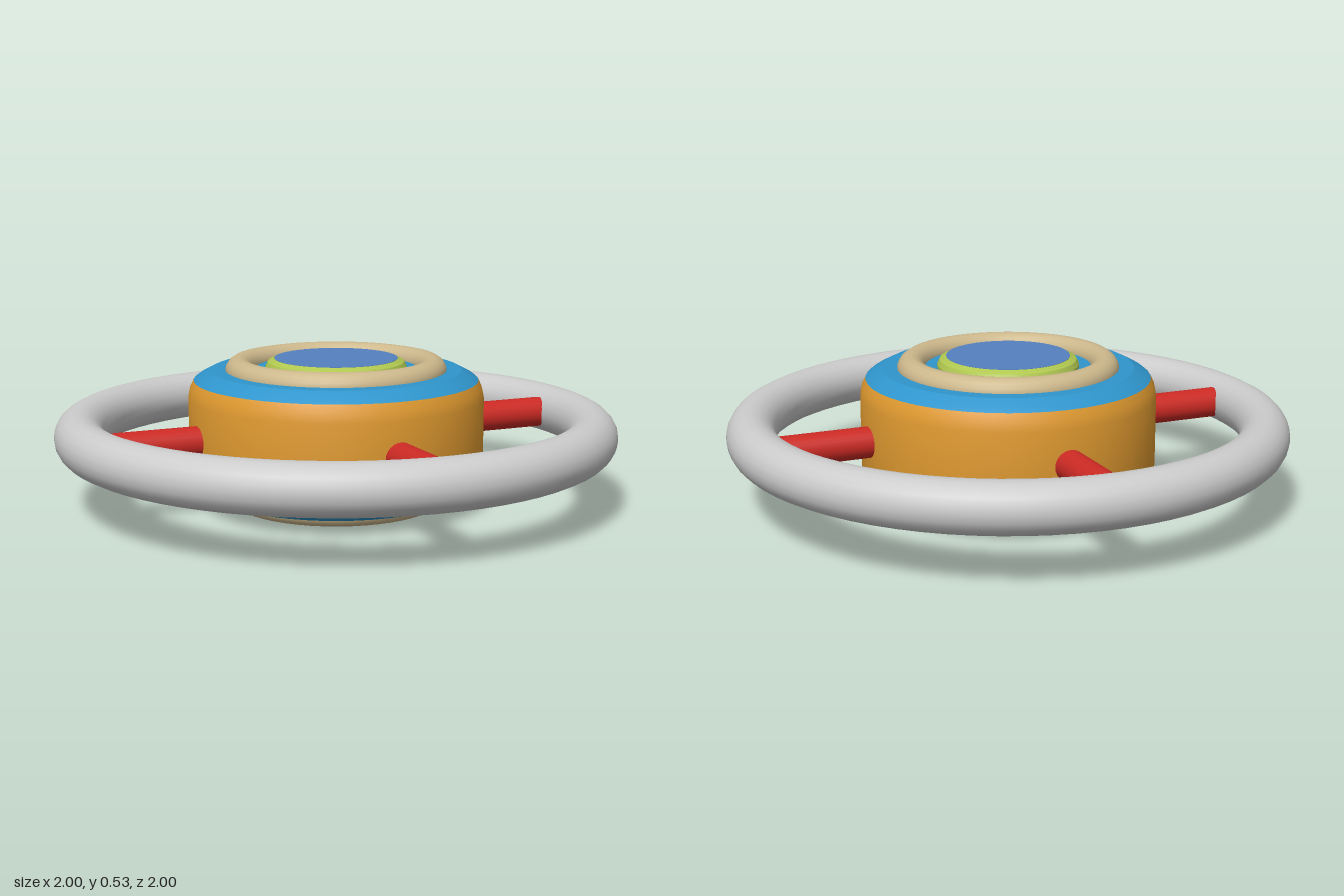
import * as THREE from 'three';
import { toCreasedNormals } from 'three/addons/utils/BufferGeometryUtils.js';

const MID = 0.268; // height of the rim plane, about which the hub is symmetric
const SIDES = 48;

function mesh(name, geometry, color) {
  const m = new THREE.Mesh(geometry, new THREE.MeshStandardMaterial({ color }));
  m.name = name;
  return m;
}

// Revolve a [radius, height] profile listed from bottom to top
function turned(profile) {
  const points = profile.map(([r, y]) => new THREE.Vector2(r, y));
  return toCreasedNormals(new THREE.LatheGeometry(points, SIDES), 0.45);
}

// Everything stacked on one face of the hub, heights measured from the rim plane
function hubFace(name) {
  const face = new THREE.Group();
  face.name = name;
  face.add(mesh('coverPlate', turned([
    [0.507, 0.17], [0.507, 0.187], [0.49, 0.2], [0.447, 0.222], [0, 0.222],
  ]), 0x2f95cc));

  const bead = mesh('raisedBead', new THREE.TorusGeometry(0.345, 0.05, 16, SIDES), 0xcdb88c);
  bead.rotation.x = Math.PI / 2;
  bead.position.y = 0.217;
  face.add(bead);

  face.add(mesh('capCollar', turned([
    [0.252, 0.21], [0.252, 0.232], [0.243, 0.25], [0.22, 0.261],
  ]), 0xb0c850));
  face.add(mesh('centreCap', turned([
    [0.22, 0.21], [0.22, 0.262], [0, 0.262],
  ]), 0x5580c0));
  return face;
}

export function createModel() {
  const model = new THREE.Group();
  model.name = 'wheel';
  const wheel = new THREE.Group();
  wheel.name = 'wheelAssembly';
  wheel.position.y = MID;
  model.add(wheel);

  // Outer rim
  const rim = mesh('rim', new THREE.TorusGeometry(0.912, 0.088, 20, 72), 0xcccccc);
  rim.rotation.x = Math.PI / 2;
  wheel.add(rim);

  // Drum with eased edges
  wheel.add(mesh('hubDrum', turned([
    [0, -0.187], [0.507, -0.187], [0.52, -0.16], [0.527, -0.125],
    [0.527, 0.125], [0.52, 0.16], [0.507, 0.187], [0, 0.187],
  ]), 0xe09a30));

  // Matching stacks on the top and bottom
  const top = hubFace('topFace');
  const bottom = hubFace('bottomFace');
  bottom.rotation.x = Math.PI;
  wheel.add(top, bottom);

  // Four round spokes from drum to rim
  for (let i = 0; i < 4; i++) {
    const arm = new THREE.Group();
    arm.name = 'spoke' + (i + 1);
    arm.rotation.y = i * Math.PI / 2;
    const rod = mesh('spokeRod', new THREE.CylinderGeometry(0.055, 0.055, 0.42, 24), 0xcc2a24);
    rod.rotation.z = Math.PI / 2;
    rod.position.x = 0.69;
    arm.add(rod);
    wheel.add(arm);
  }
  return model;
}
